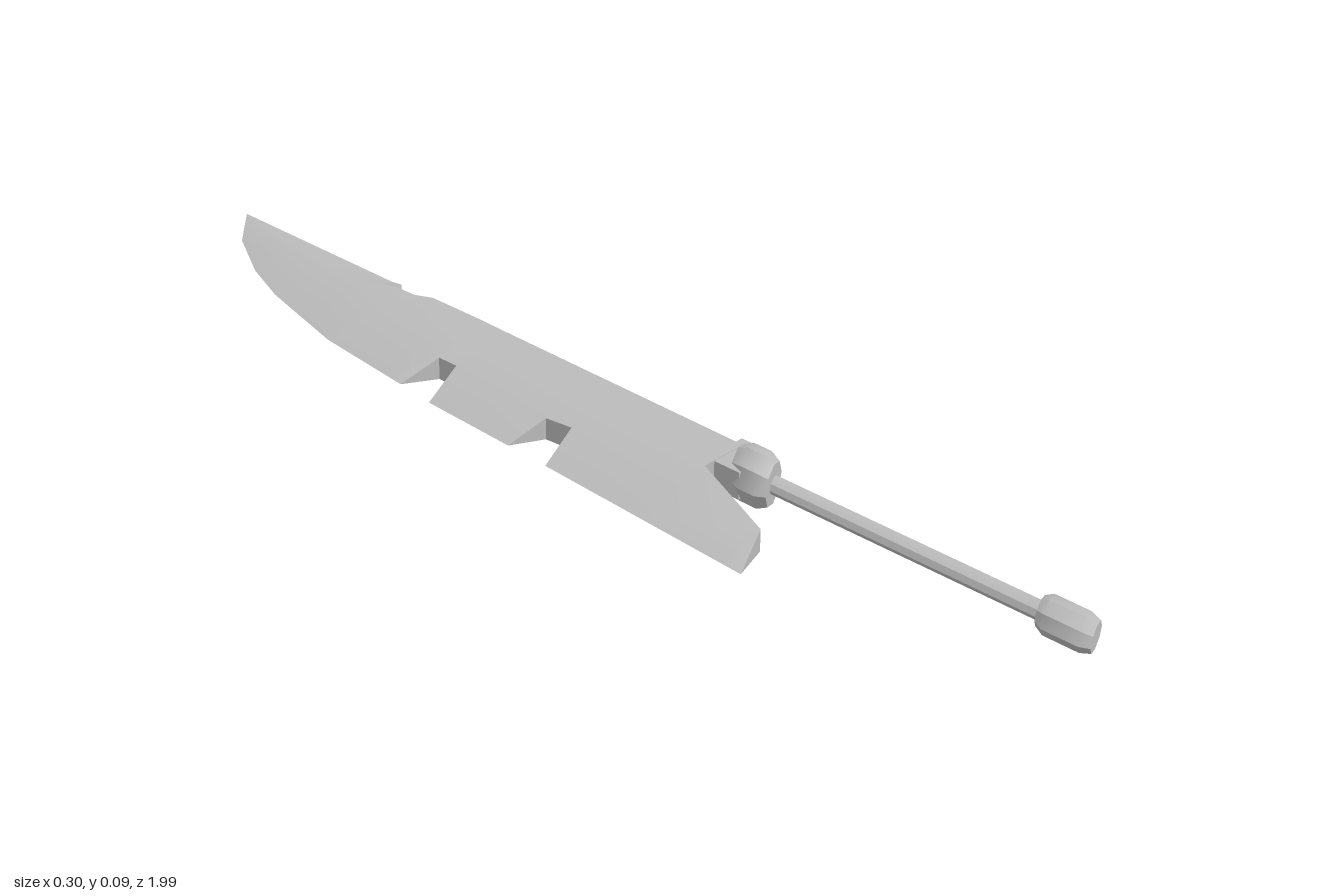
import * as THREE from 'three';
import { toCreasedNormals } from 'three/addons/utils/BufferGeometryUtils.js';

const MID_Y = 0.047;

// piecewise linear lookup in [[key, value], ...]
function lookup(points, t) {
  if (t <= points[0][0]) return points[0][1];
  for (let i = 1; i < points.length; i++) {
    const [k0, v0] = points[i - 1], [k1, v1] = points[i];
    if (t <= k1) return v0 + (v1 - v0) * (t - k0) / (k1 - k0);
  }
  return points[points.length - 1][1];
}

// skin a list of closed rings (ordered along +z) and cap both ends
function loft(rings, crease) {
  const pos = [];
  const u = new THREE.Vector3(), v = new THREE.Vector3();
  const tri = (a, b, c) => {
    u.subVectors(b, a);
    v.subVectors(c, a);
    if (u.cross(v).length() > 1e-9) for (const p of [a, b, c]) pos.push(p.x, p.y, p.z);
  };
  const n = rings[0].length;
  for (let i = 0; i < rings.length - 1; i++) {
    for (let j = 0; j < n; j++) {
      const k = (j + 1) % n;
      tri(rings[i][j], rings[i + 1][j], rings[i + 1][k]);
      tri(rings[i][j], rings[i + 1][k], rings[i][k]);
    }
  }
  const first = rings[0], last = rings[rings.length - 1];
  for (let j = 1; j < n - 1; j++) {
    tri(first[0], first[j], first[j + 1]);
    tri(last[0], last[j + 1], last[j]);
  }
  const geo = new THREE.BufferGeometry();
  geo.setAttribute('position', new THREE.Float32BufferAttribute(pos, 3));
  return toCreasedNormals(geo, crease);
}

// eight-sided rod from [z, scale] steps; slant leans the rings across x
function rod(cx, rx, ry, slant, steps) {
  return loft(steps.map(([z, s]) => {
    const ring = [];
    for (let j = 0; j < 8; j++) {
      const a = -j * Math.PI / 4;
      const x = Math.cos(a) * rx * s;
      ring.push(new THREE.Vector3(cx + x, MID_Y + Math.sin(a) * ry * s, z - x * slant));
    }
    return ring;
  }), 0.6);
}

// uninterrupted cutting edge, spine and thickness taper along z
const EDGE = [[-0.997, 0.145], [-0.918, 0.066], [-0.807, 0.003], [-0.71, -0.034], [-0.516, -0.082],
  [-0.31, -0.103], [-0.23, -0.113], [0.055, -0.126], [0.495, -0.15]];
const SPINE = [[-0.997, 0.146], [-0.574, 0.145], [-0.468, 0.14], [0.35, 0.13]];
const TAPER = [[-0.997, 0], [-0.807, 0.42], [-0.574, 0.82], [-0.35, 1]];

// one blade slice, cut back to [left, right] where there is a notch
function bladeRing([z, left, right]) {
  const e = lookup(EDGE, z), s = lookup(SPINE, z), w = s - e;
  const t = lookup(TAPER, z);
  const tip = lookup([[-0.6, 1], [-0.53, 0]], z);
  const profile = [[0, 0], [0.32, 0.02], [0.6, 0.026], [0.92 - 0.2 * tip, 0.026], [1, 0.011 * (1 - tip)]];
  const lo = left ?? e, hi = right ?? s;
  const top = profile.map(([f]) => {
    const x = Math.min(hi, Math.max(lo, e + w * f));
    const h = w > 1e-6 ? lookup(profile, (x - e) / w) * t : 0;
    return [x, h];
  });
  const ring = top.map(([x, h]) => new THREE.Vector3(x, MID_Y + h, z));
  for (const [x, h] of top.reverse()) ring.push(new THREE.Vector3(x, MID_Y - h, z));
  return ring;
}

export function createModel() {
  const model = new THREE.Group();
  model.name = 'brokenSword';
  const steel = new THREE.MeshStandardMaterial({ color: 0xbbbbbb });
  steel.name = 'greySteel';
  const add = (name, geo) => {
    const mesh = new THREE.Mesh(geo, steel);
    mesh.name = name;
    model.add(mesh);
    return mesh;
  };

  // blade from tip to heel: [z, left cut, right cut]
  const stations = [
    [-0.997], [-0.918], [-0.807], [-0.71], [-0.6], [-0.574],
    [-0.537, null, 0.108], [-0.516, null, 0.108], [-0.5, null, 0.108], [-0.468], [-0.35],
    [-0.31], [-0.304, -0.019], [-0.262, -0.019], [-0.23],
    [-0.034], [-0.029, -0.04], [0.024, -0.034], [0.055],
    [0.267], [0.267, null, 0.02], [0.452, null, -0.056], [0.495, null, -0.149],
  ];
  add('blade', loft(stations.map(bladeRing), 0.35));

  // short stub of the blade running into the collar
  const stub = add('bladeStub', new THREE.BoxGeometry(0.085, 0.05, 0.07));
  stub.position.set(0.085, MID_Y, 0.285);

  // slanted collar, thin grip and slanted pommel
  add('collar', rod(0.086, 0.05, 0.045, 0.45, [[0.278, 0.8], [0.298, 1], [0.335, 1], [0.355, 0.8]]));
  add('grip', rod(0.085, 0.019, 0.013, 0, [[0.27, 1], [0.91, 1]]));
  add('pommel', rod(0.085, 0.04, 0.026, 0.4, [[0.88, 0.75], [0.895, 1], [0.962, 1], [0.982, 0.8]]));
  return model;
}
